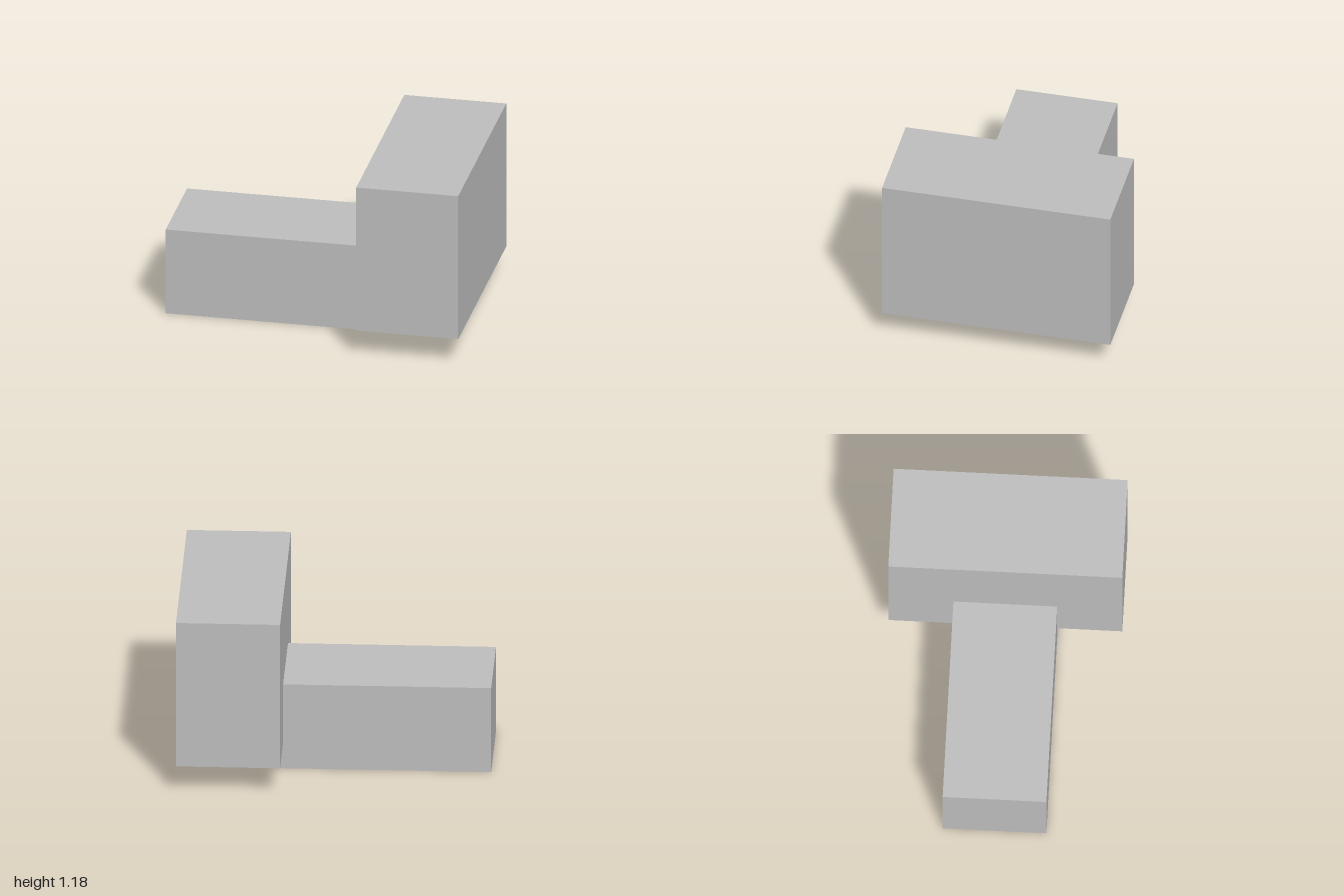
import * as THREE from 'three';

export function createModel() {
  const model = new THREE.Group();
  const grey = new THREE.MeshStandardMaterial({ color: 0xc0c0c0 });
  grey.name = 'lightGrey';

  // Box spanning x0..x1 and y0..y1, centred on z = 0
  const addBox = (name, x0, x1, y0, y1, depth) => {
    const mesh = new THREE.Mesh(new THREE.BoxGeometry(x1 - x0, y1 - y0, depth), grey);
    mesh.name = name;
    mesh.position.set((x0 + x1) / 2, (y0 + y1) / 2, 0);
    model.add(mesh);
  };

  // Long handle, running into the head
  addBox('handle', -1, 0.665, 0, 0.585, 0.665);
  // Wide head across the end of the handle
  addBox('head', 0.333, 1, 0.18, 1.18, 1.5);

  return model;
}
